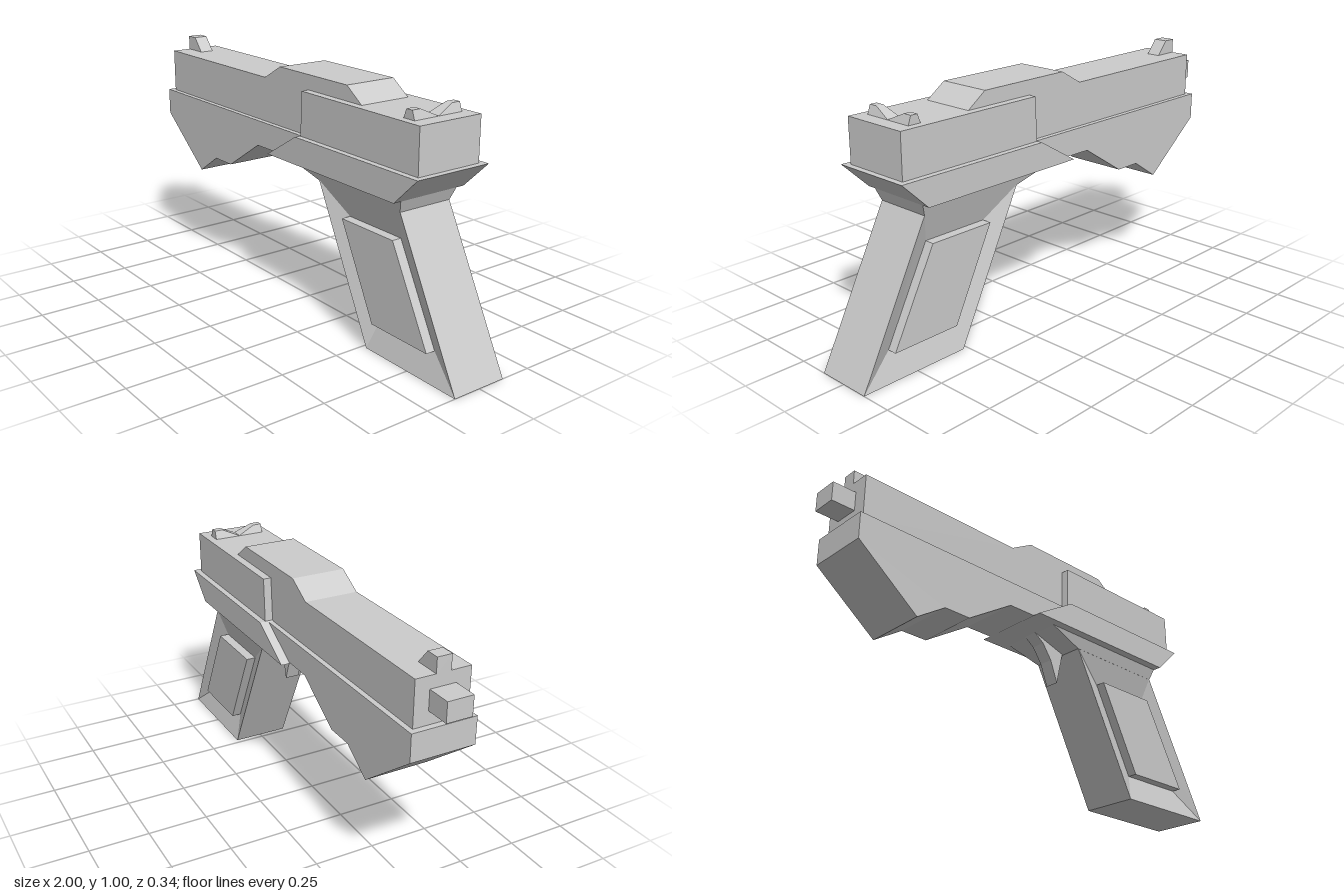
import * as THREE from 'three';

const material = new THREE.MeshStandardMaterial({ color: 0xcccccc, flatShading: true });

// Side profile (x, y) extruded symmetrically to half width w
function plate(points, w) {
  const shape = new THREE.Shape(points.map(([x, y]) => new THREE.Vector2(x, y)));
  return new THREE.ExtrudeGeometry(shape, { depth: 2 * w, bevelEnabled: false }).translate(0, 0, -w);
}

// Skin through four-cornered rings, capped at both ends
function loft(rings) {
  const index = [];
  for (let r = 0; r < rings.length - 1; r++) {
    for (let i = 0; i < 4; i++) {
      const a = r * 4 + i, b = r * 4 + (i + 1) % 4;
      index.push(a, b, b + 4, a, b + 4, a + 4);
    }
  }
  const e = (rings.length - 1) * 4;
  index.push(0, 2, 1, 0, 3, 2, e, e + 1, e + 2, e, e + 2, e + 3);
  const geo = new THREE.BufferGeometry();
  geo.setAttribute('position', new THREE.Float32BufferAttribute(rings.flat(2), 3));
  geo.setIndex(index);
  const flat = geo.toNonIndexed();
  flat.computeVertexNormals();
  return flat;
}

export function createModel() {
  const model = new THREE.Group();
  const add = (name, geometry) => {
    const mesh = new THREE.Mesh(geometry, material);
    mesh.name = name;
    model.add(mesh);
  };

  // Upper body: slide with raised hump, wider rear section
  add('slide', plate([[-0.9, 0.75], [0.79, 0.75], [0.79, 0.935], [0.46, 0.94], [0.375, 1],
    [-0.05, 1], [-0.155, 0.94], [-0.9, 0.94]], 0.112));
  add('slideRear', plate([[0.132, 0.75], [0.803, 0.75], [0.803, 0.94], [0.14, 0.94]], 0.145));
  add('muzzle', new THREE.BoxGeometry(0.14, 0.08, 0.105).translate(-0.93, 0.85, 0));

  // Lower frame
  add('frontFrame', plate([[-0.925, 0.645], [-0.65, 0.43], [-0.52, 0.515], [-0.4, 0.515],
    [-0.185, 0.65], [0.1, 0.652], [0.14, 0.757], [-0.925, 0.757]], 0.133));
  add('rearFrame', plate([[-0.06, 0.648], [0.71, 0.648], [0.828, 0.76], [0.13, 0.76]], 0.17));

  // Tapered collar between frame and grip
  const level = (x0, x1, y, w) => [[x0, y, w], [x1, y, w], [x1, y, -w], [x0, y, -w]];
  add('gripCollar', loft([level(0.22, 0.69, 0.598, 0.12), level(0.05, 0.71, 0.65, 0.136)]));

  // Grip with sunken sides and a raised pad on each
  const outer = [[0.52, 0], [1, 0], [0.69, 0.6], [0.22, 0.6]];
  const inner = [[0.555, 0.115], [0.855, 0.115], [0.66, 0.485], [0.37, 0.485]];
  const at = (pts, z) => pts.map(([x, y]) => [x, y, z]);
  add('grip', loft([at(inner, -0.085), at(outer, -0.12), at(outer, 0.12), at(inner, 0.085)]));
  add('gripPads', plate(inner, 0.125));

  add('trigger', plate([[0.05, 0.65], [0.1, 0.615], [0.145, 0.55], [0.18, 0.455],
    [0.215, 0.595], [0.24, 0.65]], 0.03));

  // Sights
  add('frontSight', plate([[-0.9, 0.935], [-0.79, 0.935], [-0.845, 1], [-0.9, 1]], 0.03));
  const notch = plate([[-0.112, 0.94], [0, 0.94], [0.112, 0.94], [0.112, 0.975], [0.075, 0.975],
    [0, 0.941], [-0.075, 0.975], [-0.112, 0.975]], 0.028).rotateY(Math.PI / 2);
  const p = notch.attributes.position;
  for (let i = 0; i < p.count; i++) {
    p.setX(i, 0.713 + p.getX(i) * (1 - (p.getY(i) - 0.94) * 13));
  }
  notch.computeVertexNormals();
  add('rearSight', notch);

  return model;
}
